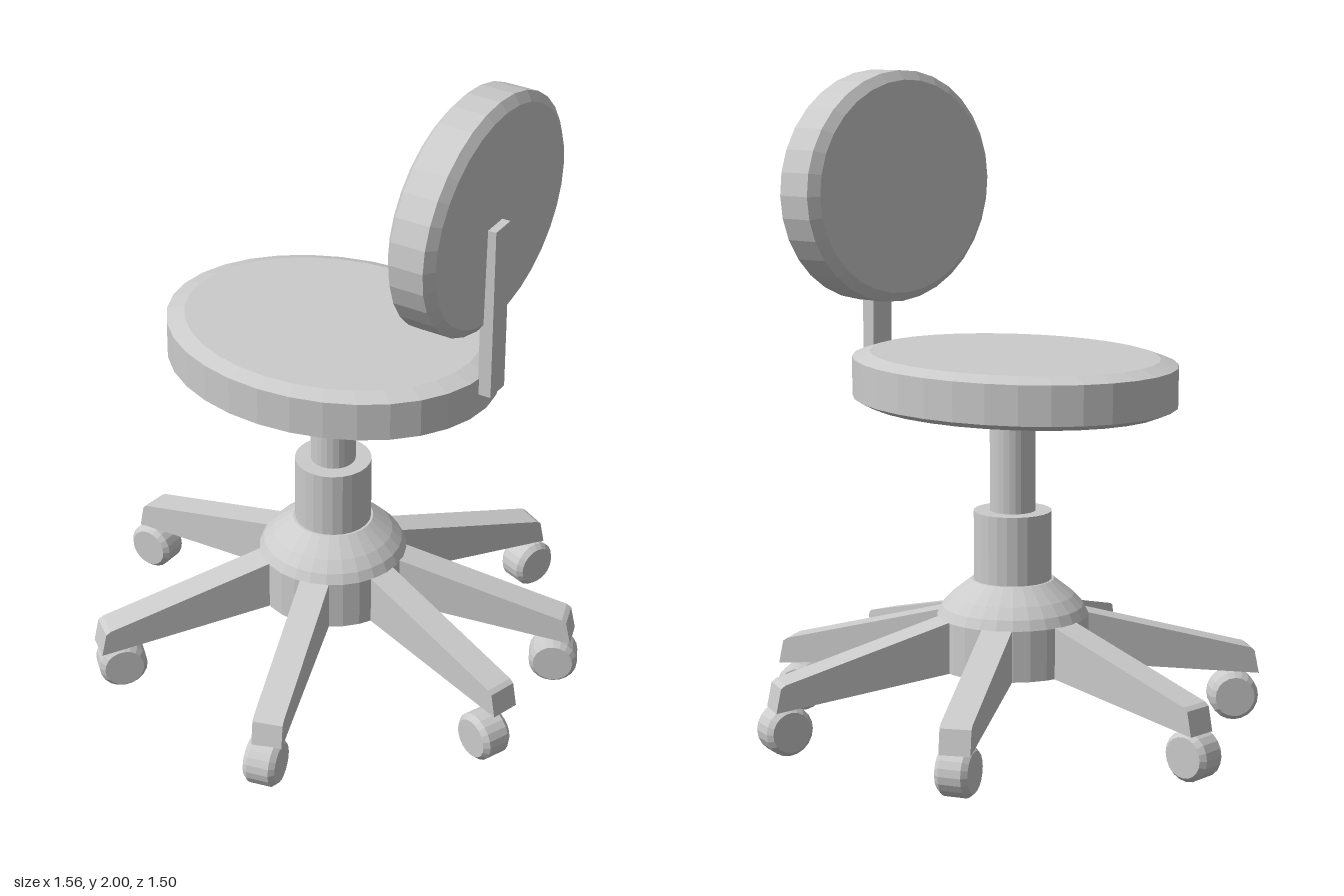
import * as THREE from 'three';

const mat = new THREE.MeshStandardMaterial({ color: 0xcccccc, flatShading: true });
const rad = THREE.MathUtils.degToRad;

function part(parent, name, geometry, x = 0, y = 0, z = 0) {
  const mesh = new THREE.Mesh(geometry, mat);
  mesh.name = name;
  mesh.position.set(x, y, z);
  parent.add(mesh);
  return mesh;
}

// Closed turned solid from [radius, height] pairs, listed bottom to top
const turned = (profile, sides) =>
  new THREE.LatheGeometry(profile.map(([r, y]) => new THREE.Vector2(r, y)), sides);

// Chamfered disc centred on its own axis
function disc(radius, thickness, insetLow, insetHigh, chamfer, sides) {
  const h = thickness / 2;
  return turned([
    [0, -h], [radius - insetLow, -h], [radius, -h + chamfer],
    [radius, h - chamfer], [radius - insetHigh, h], [0, h],
  ], sides);
}

// Tapering leg: side profile running outward along +x, extruded to its width
function legGeometry() {
  const width = 0.092;
  const side = new THREE.Shape([
    [0.1, 0.222], [0.2, 0.222], [0.767, 0.155], [0.752, 0.228],
    [0.738, 0.238], [0.2, 0.383], [0.1, 0.383],
  ].map(([x, y]) => new THREE.Vector2(x, y)));
  return new THREE.ExtrudeGeometry(side, { depth: width, bevelEnabled: false })
    .translate(0, 0, -width / 2);
}

export function createModel() {
  const chair = new THREE.Group();
  chair.name = 'swivelChair';
  const cx = 0.013, cz = -0.035;

  // Oval seat and backrest
  const seat = part(chair, 'seat', disc(1, 0.155, 0.08, 0.11, 0.018, 32), 0.008, 1.094, cz);
  seat.scale.set(0.525, 1, 0.422);
  const back = part(chair, 'backrest', disc(1, 0.15, 0.08, 0.08, 0.022, 32), 0.466, 1.65, -0.075);
  back.scale.set(0.35, 1, 0.42);
  back.rotation.z = -Math.PI / 2 - 0.015;
  part(chair, 'backBracket', new THREE.BoxGeometry(0.042, 0.54, 0.085), 0.546, 1.37, cz);

  // Gas column, sleeve and domed hub
  part(chair, 'column', new THREE.CylinderGeometry(0.069, 0.069, 0.38, 24), cx, 0.85, cz);
  part(chair, 'sleeve', new THREE.CylinderGeometry(0.118, 0.118, 0.24, 24), cx, 0.575, cz);
  part(chair, 'hub', turned([
    [0, 0.22], [0.23, 0.22], [0.23, 0.375], [0.215, 0.405], [0.185, 0.437], [0.125, 0.485], [0, 0.485],
  ], 28), cx, 0, cz);

  // Seven legs, each with a swivelled caster: leg angle, caster x, z, heading
  const leg = legGeometry();
  const wheel = disc(0.075, 0.1, 0.014, 0.014, 0.016, 20).rotateX(Math.PI / 2);
  [
    [-173, -0.71, -0.113, -177],
    [-116, -0.277, -0.65, -108],
    [-60.5, 0.388, -0.65, -68],
    [-17, 0.695, -0.235, -25],
    [17, 0.695, 0.224, 23],
    [74, 0.208, 0.68, 79],
    [130, -0.44, 0.488, 135],
  ].forEach(([angle, x, z, heading], i) => {
    part(chair, `leg${i + 1}`, leg, cx, 0, cz).rotation.y = -rad(angle);
    const y = x > 0.6 ? 0.078 : 0.086;
    part(chair, `caster${i + 1}`, wheel, x, y, z).rotation.y = -rad(heading);
  });

  return chair;
}
